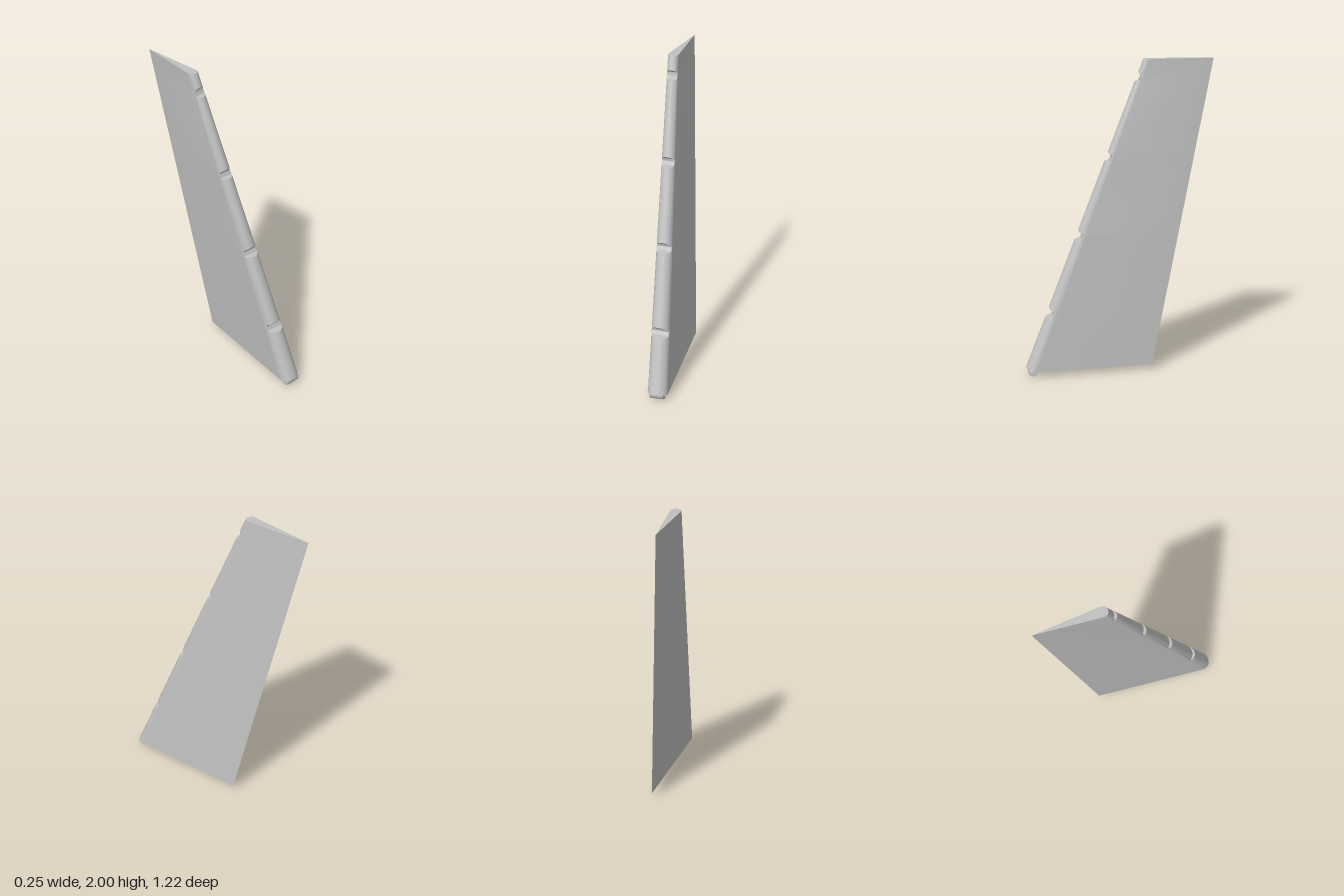
import * as THREE from 'three';
import { toCreasedNormals } from 'three/addons/utils/BufferGeometryUtils.js';

const N = 24; // facets around the rounded leading edge
const lerp = THREE.MathUtils.lerp;

// Teardrop section at height y
function section(y) {
  const t = (y - 0.038) / 1.962;
  return { cx: lerp(0.06, -0.095, t), cz: lerp(0.55, -0.198, t), r: lerp(0.065, 0.033, t), tail: lerp(-0.21, -0.612, t) };
}

function nosePoint(y, a) {
  const s = section(y);
  return new THREE.Vector3(s.cx + s.r * Math.sin(a), y, s.cz + s.r * Math.cos(a));
}

// One ring: 'cut' flattens the nose by depth * radius, 'tilt' slopes it upward instead
function ring(y, mode = 'full', depth = 0) {
  const s = section(y);
  const limit = s.cz + s.r - depth * s.r;
  const half = Math.PI / 2 + Math.asin(s.r / (s.cz - s.tail));
  const points = [];
  for (let i = 0; i <= N; i++) {
    const a = lerp(-half, half, i / N);
    let p = nosePoint(y, a);
    if (p.z > limit) {
      if (mode === 'cut') p.z = limit;
      if (mode === 'tilt') p = nosePoint(y + (p.z - limit) / 1.4, a);
    }
    points.push(p);
  }
  points.push(new THREE.Vector3(s.cx, y, s.tail));
  return points;
}

function loft(rings) {
  const pos = [];
  const tri = (a, b, c) => {
    const area = b.clone().sub(a).cross(c.clone().sub(a)).length();
    if (area > 1e-10) for (const p of [a, b, c]) pos.push(p.x, p.y, p.z);
  };
  const n = rings[0].length;
  for (let k = 0; k + 1 < rings.length; k++) {
    const lo = rings[k], hi = rings[k + 1];
    for (let i = 0; i < n; i++) {
      const j = (i + 1) % n;
      tri(lo[i], lo[j], hi[j]);
      tri(lo[i], hi[j], hi[i]);
    }
  }
  // End caps fan out from the trailing edge
  const bottom = rings[0], top = rings[rings.length - 1];
  for (let i = 0; i < n - 2; i++) {
    tri(top[n - 1], top[i], top[i + 1]);
    tri(bottom[n - 1], bottom[i + 1], bottom[i]);
  }
  const g = new THREE.BufferGeometry();
  g.setAttribute('position', new THREE.Float32BufferAttribute(pos, 3));
  return toCreasedNormals(g, 0.5);
}

export function createModel() {
  const group = new THREE.Group();
  group.name = 'rudder';
  const grey = new THREE.MeshStandardMaterial({ color: 0xc0c0c0 });
  grey.name = 'light grey';

  // Tapered blade with four hinge notches in its leading edge
  const rings = [ring(0.038, 'tilt', 0.45)];
  for (const y of [0.38, 0.873, 1.367, 1.862]) {
    rings.push(
      ring(y),
      ring(y + 0.004, 'cut', 0.7),
      ring(y + 0.025, 'cut', 0.78),
      ring(y + 0.041, 'cut', 0.6),
      ring(y + 0.045, 'tilt', 0.4)
    );
  }
  rings.push(ring(2));
  const blade = new THREE.Mesh(loft(rings), grey);
  blade.name = 'blade';
  group.add(blade);

  // Small hinge barrel under the foot of the leading edge
  const barrel = new THREE.Mesh(new THREE.CylinderGeometry(0.033, 0.033, 0.09, 16), grey);
  barrel.name = 'lowerHinge';
  barrel.rotation.z = Math.PI / 2 + 0.08;
  barrel.position.set(0.061, 0.037, 0.565);
  group.add(barrel);
  return group;
}
